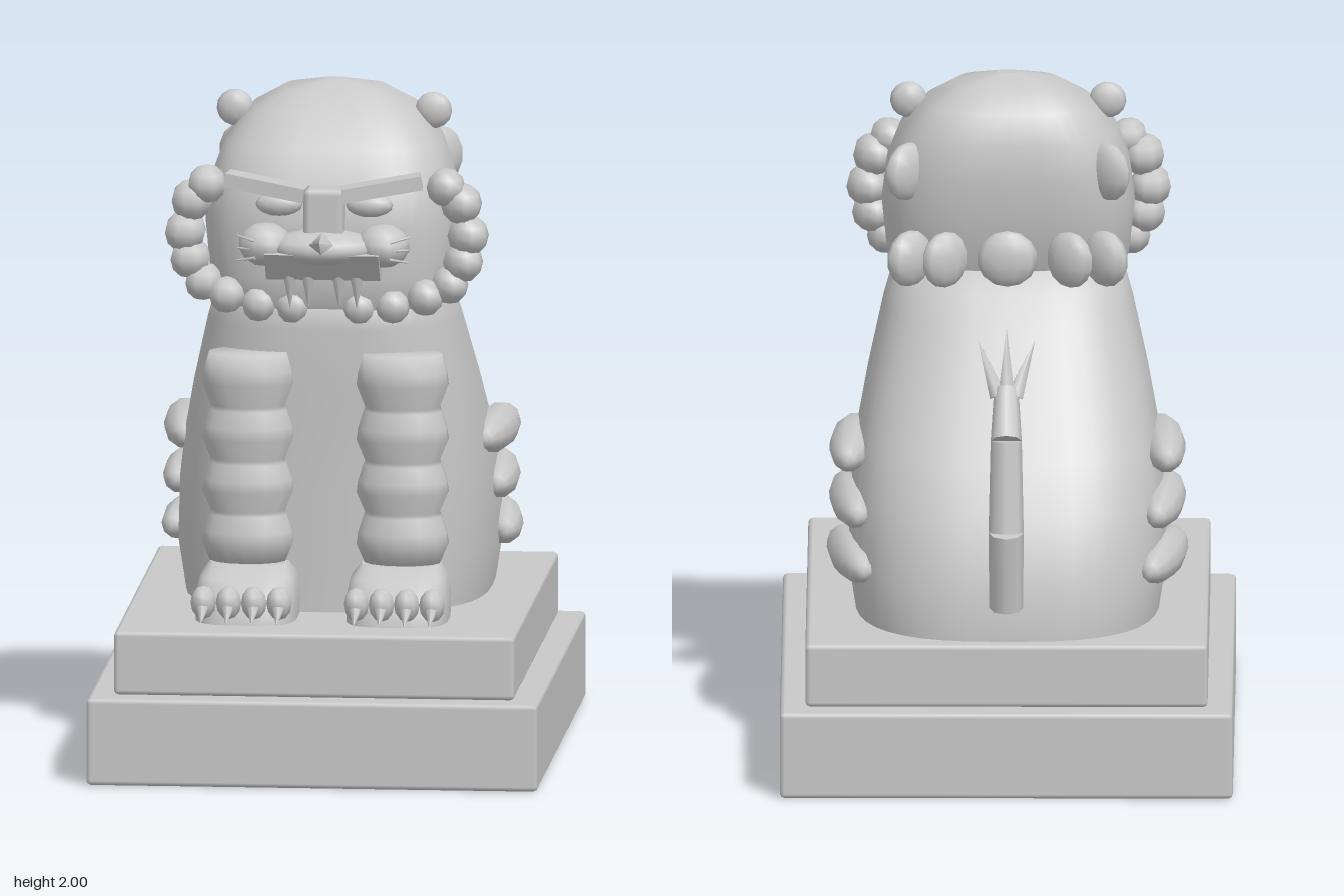
import * as THREE from 'three';
import { RoundedBoxGeometry } from 'three/addons/geometries/RoundedBoxGeometry.js';

const stone = new THREE.MeshStandardMaterial({ color: 0xc8c8c8 });
stone.name = 'stone';

export function createModel() {
  const model = new THREE.Group();
  model.name = 'guardianLionStatue';

  const add = (name, geometry, pos = [0, 0, 0], rot = [0, 0, 0], scale = [1, 1, 1]) => {
    const mesh = new THREE.Mesh(geometry, stone);
    mesh.name = name;
    mesh.position.set(...pos);
    mesh.rotation.set(...rot);
    mesh.scale.set(...scale);
    model.add(mesh);
    return mesh;
  };
  const ball = (name, pos, radii, rot, w = 10, h = 7) =>
    add(name, new THREE.SphereGeometry(1, w, h), pos, rot, radii);

  // Tapered rod between two points
  const rod = (name, from, to, r0, r1, sides = 8) => {
    const a = new THREE.Vector3(...from), b = new THREE.Vector3(...to);
    const dir = b.clone().sub(a);
    const mesh = add(name, new THREE.CylinderGeometry(r1, r0, dir.length(), sides));
    mesh.position.copy(a).add(b).multiplyScalar(0.5);
    mesh.quaternion.setFromUnitVectors(new THREE.Vector3(0, 1, 0), dir.normalize());
  };

  // Pedestal
  add('pedestalLower', new RoundedBoxGeometry(1.34, 0.26, 1.64, 1, 0.014), [0, 0.13, 0]);
  add('pedestalUpper', new RoundedBoxGeometry(1.19, 0.19, 1.49, 1, 0.014), [0, 0.355, 0]);

  // Body and head: rows of [y, half width, back z, front z]
  add('body', loft([
    [0.44, 0.45, -0.7, 0.36], [0.6, 0.475, -0.7, 0.36], [0.8, 0.467, -0.63, 0.36],
    [0.95, 0.447, -0.53, 0.36], [1.1, 0.418, -0.42, 0.365], [1.3, 0.372, -0.29, 0.37],
    [1.39, 0.345, -0.225, 0.36], [1.44, 0.3, -0.16, 0.3],
  ], 2.8));
  add('head', loft([
    [1.33, 0.28, -0.04, 0.34], [1.37, 0.335, -0.11, 0.37], [1.45, 0.36, -0.16, 0.385],
    [1.6, 0.375, -0.195, 0.39], [1.72, 0.36, -0.205, 0.375], [1.83, 0.32, -0.2, 0.31],
    [1.92, 0.245, -0.16, 0.21], [1.975, 0.15, -0.08, 0.14], [2, 0.03, 0.02, 0.06],
  ], 3));

  // Muzzle with an underside that slopes back to the teeth
  add('noseBridge', new RoundedBoxGeometry(0.12, 0.17, 0.1, 1, 0.02), [0, 1.65, 0.4]);
  ball('muzzle', [0, 1.555, 0.41], [0.16, 0.055, 0.11], undefined, 14, 8);
  const lip = new THREE.Shape([[0.34, 1.55], [0.5, 1.545], [0.43, 1.46], [0.34, 1.46]]
    .map(([z, y]) => new THREE.Vector2(-z, y)));
  const mouth = new THREE.ExtrudeGeometry(lip, { depth: 0.34, bevelEnabled: false });
  add('mouth', mouth, [-0.17, 0, 0], [0, Math.PI / 2, 0]);
  add('noseTip', new THREE.ConeGeometry(0.055, 0.11, 4).toNonIndexed(),
    [0, 1.582, 0.525], [1.3, 0, 0], [1, 1, 0.8]);
  for (const x of [-0.1, -0.045, 0.045, 0.1]) {
    add('tooth', new THREE.ConeGeometry(0.022, 0.1, 6), [x, 1.42, 0.42], [Math.PI, 0, 0]);
  }

  // Collar of curls behind the neck
  ball('neckCurl', [0, 1.5, -0.24], [0.09, 0.085, 0.04]);

  // Cheek mane: rows of [x, y, radius, z, z radius]
  const mane = [
    [0.355, 1.725, 0.058, 0.32, 0.07], [0.4, 1.675, 0.062, 0.31, 0.08],
    [0.42, 1.58, 0.062, 0.31, 0.08], [0.405, 1.5, 0.06, 0.31, 0.08],
    [0.365, 1.43, 0.056, 0.31, 0.075], [0.295, 1.395, 0.055, 0.33, 0.065],
    [0.2, 1.37, 0.052, 0.345, 0.05], [0.1, 1.365, 0.05, 0.35, 0.045],
  ];

  // Segmented leg profile
  const legProfile = [[0, 0.595]];
  const rings = [0.595, 0.75, 0.905, 1.065, 1.23];
  for (let i = 0; i < 4; i++) {
    const y0 = rings[i] + 0.006, y1 = rings[i + 1] - (i < 3 ? 0.006 : 0), h = y1 - y0;
    legProfile.push([0.112, y0], [0.138, y0 + h * 0.42], [0.134, y0 + h * 0.65], [0.118, y1]);
  }
  legProfile.push([0, 1.23]);

  for (const s of [-1, 1]) {
    // Face
    ball('ear', [s * 0.295, 1.91, 0.055], [0.055, 0.055, 0.033], [0, 0, s * 0.6]);
    ball('eye', [s * 0.135, 1.68, 0.39], [0.07, 0.036, 0.035], undefined, 12, 8);
    add('eyebrow', new THREE.BoxGeometry(0.24, 0.042, 0.08), [s * 0.172, 1.735, 0.405], [0, s * 0.1, s * 0.17]);
    ball('cheek', [s * 0.175, 1.56, 0.4], [0.08, 0.065, 0.085]);
    for (const y of [1.53, 1.555, 1.58]) {
      rod('whisker', [s * 0.2, y, 0.47], [s * 0.255, y + (y - 1.555) * 0.5, 0.44], 0.005, 0.003, 5);
    }

    // Mane and curls
    for (const [x, y, r, z, rz] of mane) {
      ball('maneCurl', [s * x, y, z], [r, r, rz], [0, s * 0.25, 0], 8, 6);
    }
    ball('headCurl', [s * 0.295, 1.74, -0.135], [0.09, 0.088, 0.04], [0, s * 0.8, 0]);
    ball('neckCurl', [s * 0.185, 1.5, -0.25], [0.08, 0.085, 0.04], [0, s * 0.6, 0]);
    ball('neckCurl', [s * 0.29, 1.5, -0.235], [0.085, 0.085, 0.045], [0, s * 0.8, 0]);

    // Front leg, paw and claws
    add('frontLeg', new THREE.LatheGeometry(legProfile.map((p) => new THREE.Vector2(...p)), 14),
      [s * 0.23, 0, 0.355], [0, 0, 0], [1, 1, 0.72]);
    add('paw', loft([
      [0.44, 0.15, 0.26, 0.61], [0.52, 0.152, 0.26, 0.6],
      [0.575, 0.14, 0.26, 0.55], [0.605, 0.115, 0.27, 0.45],
    ], 3.2), [s * 0.225, 0, 0]);
    for (const x of [0.115, 0.19, 0.265, 0.34]) {
      ball('toe', [s * x, 0.52, 0.615], [0.038, 0.05, 0.045], undefined, 8, 6);
      rod('claw', [s * x, 0.508, 0.64], [s * x, 0.472, 0.718], 0.02, 0, 6);
    }

    // Flame curls on the haunch
    for (const [y, z, turn] of [[0.92, -0.17, -0.06], [0.77, -0.255, 0.08], [0.62, -0.325, 0.16]]) {
      const flame = new THREE.SphereGeometry(1, 10, 8).rotateX(Math.PI / 2);
      add('haunchFlame', flame, [s * 0.46, y, z], [0, s * turn, 0], [0.066, 0.066, 0.24]);
    }
  }

  // Jointed tail ending in three spikes
  const joints = [[0, 0.555, -0.705], [0, 0.795, -0.735], [0, 1.065, -0.7], [0, 1.2, -0.61]];
  joints[1][2] = -0.74;
  const radii = [0.05, 0.052, 0.046, 0.036];
  for (let i = 0; i < 3; i++) rod('tailJoint', joints[i], joints[i + 1], radii[i], radii[i + 1]);
  for (const x of [-1, 0, 1]) {
    rod('tailSpike', [x * 0.025, 1.18, -0.615], [x * 0.085, x ? 1.34 : 1.38, -0.565], 0.028, 0, 6);
  }
  return model;
}

// Stacks rounded-square cross-sections with half width, back and front per height
function loft(rows, power, n = 40) {
  const pos = [], index = [];
  const curve = (v) => Math.sign(v) * Math.abs(v) ** (2 / power);
  for (const [y, hw, back, front] of rows) {
    for (let j = 0; j < n; j++) {
      const a = (j / n) * Math.PI * 2;
      pos.push(hw * curve(Math.cos(a)), y, (back + front) / 2 + ((front - back) / 2) * curve(Math.sin(a)));
    }
  }
  for (let i = 0; i < rows.length - 1; i++) {
    for (let j = 0; j < n; j++) {
      const a = i * n + j, b = i * n + ((j + 1) % n);
      index.push(a, a + n, b, b, a + n, b + n);
    }
  }
  // End caps
  for (const [i, up] of [[0, false], [rows.length - 1, true]]) {
    const start = pos.length / 3, [y, , back, front] = rows[i];
    pos.push(...pos.slice(i * n * 3, (i + 1) * n * 3), 0, y, (back + front) / 2);
    for (let j = 0; j < n; j++) {
      const a = start + j, b = start + ((j + 1) % n);
      index.push(start + n, up ? b : a, up ? a : b);
    }
  }
  const g = new THREE.BufferGeometry();
  g.setAttribute('position', new THREE.Float32BufferAttribute(pos, 3));
  g.setIndex(index);
  g.computeVertexNormals();
  return g;
}
